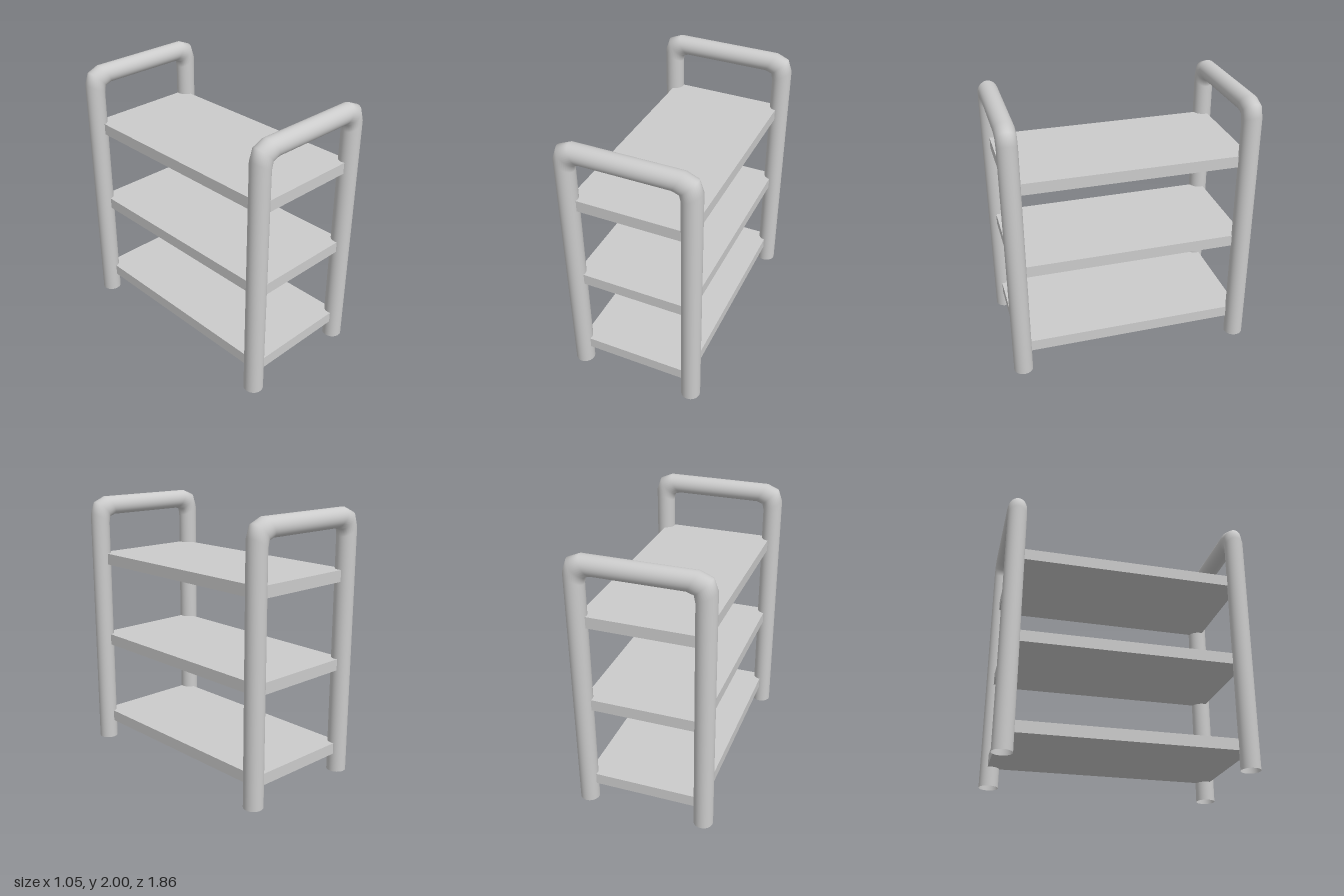
import * as THREE from 'three';

const material = new THREE.MeshStandardMaterial({ color: 0xcccccc, side: THREE.DoubleSide });

// Bent tube: each ring spans from an inner to an outer point of the frame's outline
function frameGeometry(sides = 32) {
  const r = 0.072;
  const half = [ // [inner x, inner y, outer x, outer y]
    [0.38, 0, 0.524, 0],
    [0.38, 1.79, 0.524, 1.872],
    [0.37, 1.84, 0.492, 1.962],
    [0.322, 1.856, 0.402, 2.0],
  ];
  const rings = [
    ...half.map(([a, b, c, d]) => [-a, b, -c, d]),
    ...half.slice().reverse(),
  ];
  const positions = [], index = [];
  rings.forEach(([ix, iy, ox, oy], i) => {
    const cx = (ix + ox) / 2, cy = (iy + oy) / 2;
    for (let j = 0; j < sides; j++) {
      const t = (j / sides) * Math.PI * 2, c = Math.cos(t);
      positions.push(cx + c * (ox - cx), cy + c * (oy - cy), r * Math.sin(t));
      if (i === rings.length - 1) continue;
      const a = i * sides + j, b = i * sides + ((j + 1) % sides);
      index.push(a, b, a + sides, b, b + sides, a + sides);
    }
  });
  const geometry = new THREE.BufferGeometry();
  geometry.setAttribute('position', new THREE.Float32BufferAttribute(positions, 3));
  geometry.setIndex(index);
  geometry.computeVertexNormals();
  return geometry;
}

export function createModel() {
  const group = new THREE.Group();
  group.name = 'shelfRack';

  // End frames, open at the feet
  const tube = frameGeometry();
  for (const [name, z] of [['frontFrame', 0.86], ['backFrame', -0.86]]) {
    const frame = new THREE.Mesh(tube, material);
    frame.name = name;
    frame.position.z = z;
    group.add(frame);
  }

  // Three flat shelves let into the posts
  const board = new THREE.BoxGeometry(0.885, 0.086, 1.76);
  [['lowerShelf', 0.188], ['middleShelf', 0.852], ['upperShelf', 1.514]].forEach(([name, y]) => {
    const shelf = new THREE.Mesh(board, material);
    shelf.name = name;
    shelf.position.y = y;
    group.add(shelf);
  });

  return group;
}
